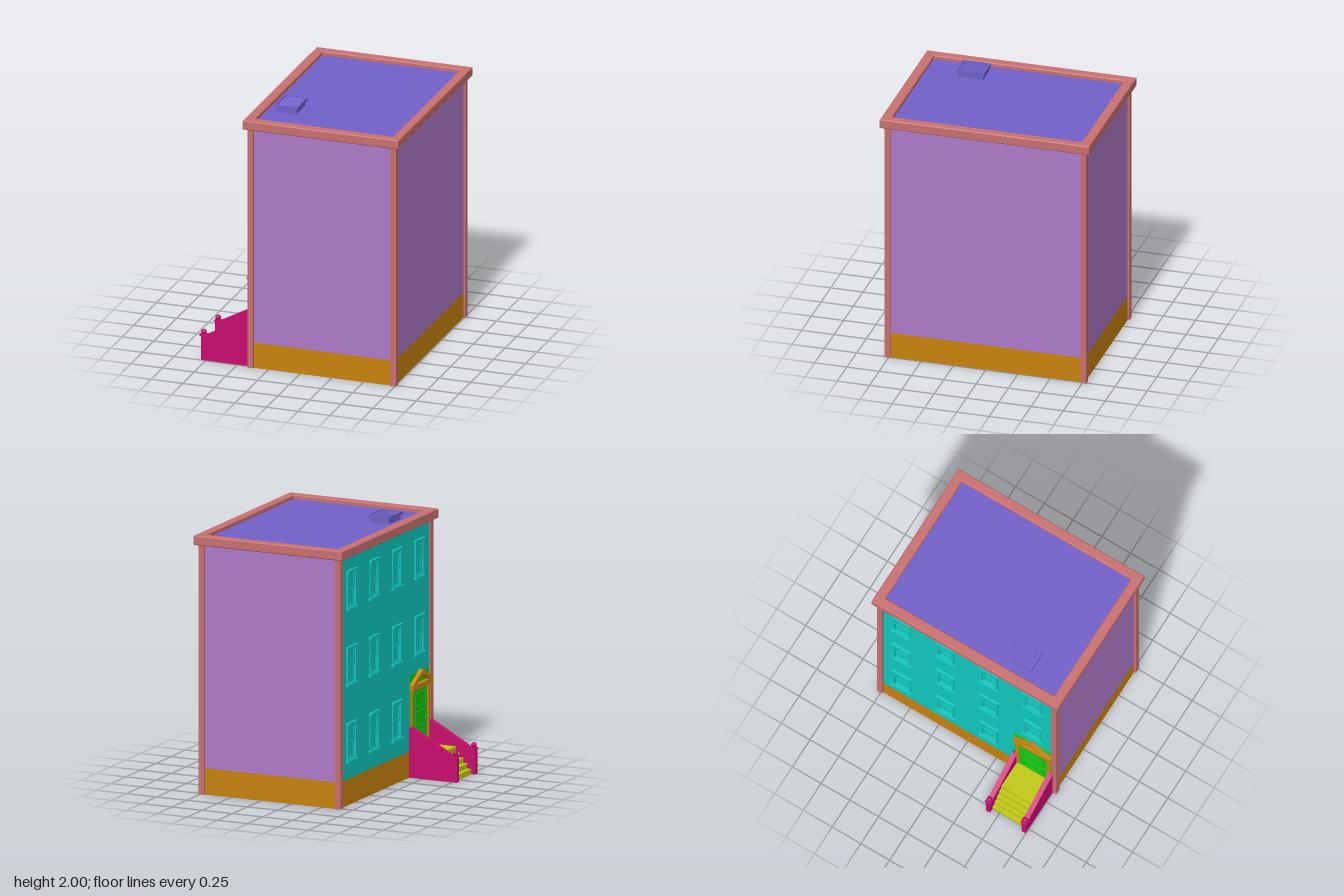
import * as THREE from 'three';

const mat = (color) => new THREE.MeshStandardMaterial({ color, side: THREE.DoubleSide });
const M = {
  trim: mat(0xc87070), wall: mat(0xad7ac8), base: mat(0xc8820c), facade: mat(0x10c8be),
  door: mat(0x14c814), porch: mat(0xc8870f), roof: mat(0x7060c8), step: mat(0xc0c810), rail: mat(0xc80c6e),
};

function add(parent, name, geo, material, x = 0, y = 0, z = 0) {
  const m = new THREE.Mesh(geo, material);
  m.name = name;
  m.position.set(x, y, z);
  parent.add(m);
  return m;
}

// Box given by its min and max on each axis
function box(parent, name, material, [x0, x1], [y0, y1], [z0, z1]) {
  return add(parent, name, new THREE.BoxGeometry(x1 - x0, y1 - y0, z1 - z0), material,
    (x0 + x1) / 2, (y0 + y1) / 2, (z0 + z1) / 2);
}

const poly = (pts) => new THREE.Shape(pts.map(([x, y]) => new THREE.Vector2(x, y)));
const rect = (x0, x1, y0, y1) => poly([[x0, y0], [x1, y0], [x1, y1], [x0, y1]]);
const extrude = (shape, depth) => new THREE.ExtrudeGeometry(shape, { depth, bevelEnabled: false });

// Building extents
const X0 = -0.395, X1 = 0.745, Z = 0.765, BASE = 0.2, TOP = 1.92, CX = (X0 + X1) / 2;
const COLS = [-0.57, -0.19, 0.19, 0.57], ROWS = [0.475, 1.055, 1.635];
const DOOR_Z = 0.575;

function buildShell(g) {
  // Open-bottomed walls: a low band with the plain wall above it
  for (const [name, m, y0, y1] of [['baseBand', M.base, 0, BASE], ['wall', M.wall, BASE, TOP]]) {
    const h = y1 - y0, y = (y0 + y1) / 2;
    add(g, name + 'Front', new THREE.PlaneGeometry(X1 - X0, h), m, CX, y, Z);
    add(g, name + 'Back', new THREE.PlaneGeometry(X1 - X0, h), m, CX, y, -Z).rotation.y = Math.PI;
    add(g, name + 'Left', new THREE.PlaneGeometry(2 * Z, h), m, X1, y, 0).rotation.y = Math.PI / 2;
  }
  add(g, 'baseBandRight', new THREE.PlaneGeometry(2 * Z, BASE), M.base, X0, BASE / 2, 0).rotation.y = -Math.PI / 2;

  // Corner posts
  for (const x of [-0.41, 0.715])
    for (const z of [-0.78, 0.735])
      box(g, 'cornerPost', M.trim, [x, x + 0.045], [0, 1.91], [z, z + 0.045]);

  // Cornice ring with a slightly softened edge
  const b = 0.006;
  const ring = rect(-0.44 + b, 0.79 - b, -0.81 + b, 0.81 - b);
  ring.holes.push(rect(-0.365 - b, 0.72 + b, -0.735 - b, 0.735 + b));
  const geo = new THREE.ExtrudeGeometry(ring, {
    depth: 0.072 - 2 * b, bevelEnabled: true, bevelSize: b, bevelThickness: b, bevelSegments: 1,
  });
  add(g, 'cornice', geo, M.trim, 0, 1.898 + b, 0).rotation.x = -Math.PI / 2;
  add(g, 'roof', new THREE.PlaneGeometry(1.1, 1.49), M.roof, 0.1775, 1.94, 0).rotation.x = -Math.PI / 2;
}

function buildVent(g) {
  const vent = new THREE.Group();
  vent.name = 'roofVent';
  vent.position.set(-0.21, 0, 0.382);
  g.add(vent);
  box(vent, 'ventBody', M.roof, [-0.078, 0.078], [1.94, 1.985], [-0.098, 0.098]);
  for (const s of [-1, 1]) {
    add(vent, 'ventRim', new THREE.BoxGeometry(0.012, 0.025, 0.22), M.roof, s * 0.084, 1.9875, 0);
    add(vent, 'ventRim', new THREE.BoxGeometry(0.18, 0.025, 0.012), M.roof, 0, 1.9875, s * 0.104);
  }
  // Tilted slats
  for (let i = 0; i < 10; i++)
    add(vent, 'ventSlat', new THREE.BoxGeometry(0.158, 0.004, 0.018), M.roof,
      0, 1.99, -0.09 + i * 0.02).rotation.x = 0.35;
}

// Sash window in facade space: x along the wall, z outward
function buildWindow(f, x, y) {
  const w = new THREE.Group();
  w.name = 'window';
  w.position.set(x, y, 0);
  f.add(w);
  box(w, 'sill', M.facade, [-0.085, 0.085], [-0.152, -0.135], [-0.01, 0.022]);
  box(w, 'lintel', M.facade, [-0.08, 0.08], [0.135, 0.152], [-0.01, 0.02]);
  const casing = rect(-0.073, 0.073, -0.138, 0.138);
  casing.holes.push(rect(-0.06, 0.06, -0.127, 0.127));
  add(w, 'casing', extrude(casing, 0.022), M.facade, 0, 0, -0.012);
  // Upper sash sits ahead of the lower one
  for (const [y0, y1, z] of [[-0.127, 0.005, -0.014], [-0.005, 0.127, -0.006]]) {
    const sash = rect(-0.06, 0.06, y0, y1);
    sash.holes.push(rect(-0.047, 0.047, y0 + 0.013, y1 - 0.013));
    add(w, 'sash', extrude(sash, 0.008), M.facade, 0, 0, z);
    add(w, 'glass', new THREE.PlaneGeometry(0.1, y1 - y0 - 0.02), M.facade, 0, (y0 + y1) / 2, z + 0.002);
  }
}

function buildDoor(f) {
  const d = new THREE.Group();
  d.name = 'doorway';
  d.position.set(DOOR_Z, BASE, 0);
  f.add(d);
  box(d, 'doorSurround', M.door, [-0.165, 0.165], [0, 0.575], [-0.003, 0.003]);
  // Door leaf with three raised panels on both sides
  box(d, 'doorLeaf', M.door, [-0.115, 0.115], [0, 0.45], [-0.01, 0.009]);
  for (const [y0, y1] of [[0.03, 0.13], [0.16, 0.28], [0.31, 0.42]]) {
    const frame = rect(-0.09, 0.09, y0, y1);
    frame.holes.push(rect(-0.075, 0.075, y0 + 0.015, y1 - 0.015));
    add(d, 'doorPanel', extrude(frame, 0.03), M.door, 0, 0, -0.016);
  }
  add(d, 'doorKnob', new THREE.SphereGeometry(0.009, 10, 8), M.door, 0.102, 0.21, 0.016);
  for (const s of [-1, 1]) {
    const x = s * 0.135;
    box(d, 'pilaster', M.porch, [x - 0.015, x + 0.015], [0, 0.46], [-0.008, 0.016]);
  }
  // Open pediment
  box(d, 'doorHead', M.porch, [-0.16, 0.16], [0.455, 0.49], [-0.008, 0.032]);
  const ped = poly([[-0.165, 0.485], [0.165, 0.485], [0.165, 0.505], [0, 0.595], [-0.165, 0.505]]);
  ped.holes.push(poly([[-0.11, 0.497], [0.11, 0.497], [0, 0.562]]));
  add(d, 'pediment', extrude(ped, 0.045), M.porch, 0, 0, -0.01);
}

function buildFacade(g) {
  const f = new THREE.Group();
  f.name = 'facade';
  f.position.x = X0;
  f.rotation.y = -Math.PI / 2; // local x runs along world z, local z points outward
  g.add(f);
  const wall = rect(-Z, Z, BASE, TOP);
  ROWS.forEach((y, r) => COLS.forEach((x, c) => {
    if (r === 0 && c === 3) return; // doorway takes this bay
    wall.holes.push(rect(x - 0.07, x + 0.07, y - 0.135, y + 0.135));
    buildWindow(f, x, y);
  }));
  wall.holes.push(rect(DOOR_Z - 0.155, DOOR_Z + 0.155, BASE + 0.001, BASE + 0.57));
  add(f, 'facadeWall', new THREE.ShapeGeometry(wall), M.facade);
  buildDoor(f);
}

function buildStoop(g) {
  const s = new THREE.Group();
  s.name = 'stoop';
  g.add(s);
  // Thin treads and risers, open underneath
  const n = 5, rise = BASE / n, run = 0.0315, start = -0.755;
  for (let i = 0; i < n; i++) {
    const x = start + i * run, y = (i + 1) * rise;
    box(s, 'riser', M.step, [x, x + 0.004], [y - rise, y], [0.435, 0.715]);
    box(s, 'tread', M.step, [x - 0.003, i === n - 1 ? X0 : x + run + 0.004], [y - 0.006, y], [0.435, 0.715]);
  }
  // Sloping side walls with coping, newel cap and ball
  const side = poly([[-0.79, 0], [X0, 0], [X0, 0.378], [-0.41, 0.378], [-0.745, 0.195], [-0.79, 0.195]]);
  const cope = poly([[-0.75, 0.192], [-0.745, 0.192], [-0.41, 0.374], [X0, 0.374], [X0, 0.384], [-0.412, 0.384], [-0.75, 0.2]]);
  for (const z of [0.42, 0.73]) {
    add(s, 'sideWall', extrude(side, 0.034), M.rail, 0, 0, z - 0.017);
    add(s, 'coping', extrude(cope, 0.04), M.rail, 0, 0, z - 0.02);
    box(s, 'newelCap', M.rail, [-0.798, -0.745], [0.193, 0.203], [z - 0.024, z + 0.024]);
    add(s, 'newelBall', new THREE.SphereGeometry(0.021, 16, 12), M.rail, -0.771, 0.222, z);
  }
}

export function createModel() {
  const g = new THREE.Group();
  g.name = 'townhouse';
  buildShell(g);
  buildFacade(g);
  buildVent(g);
  buildStoop(g);
  return g;
}
